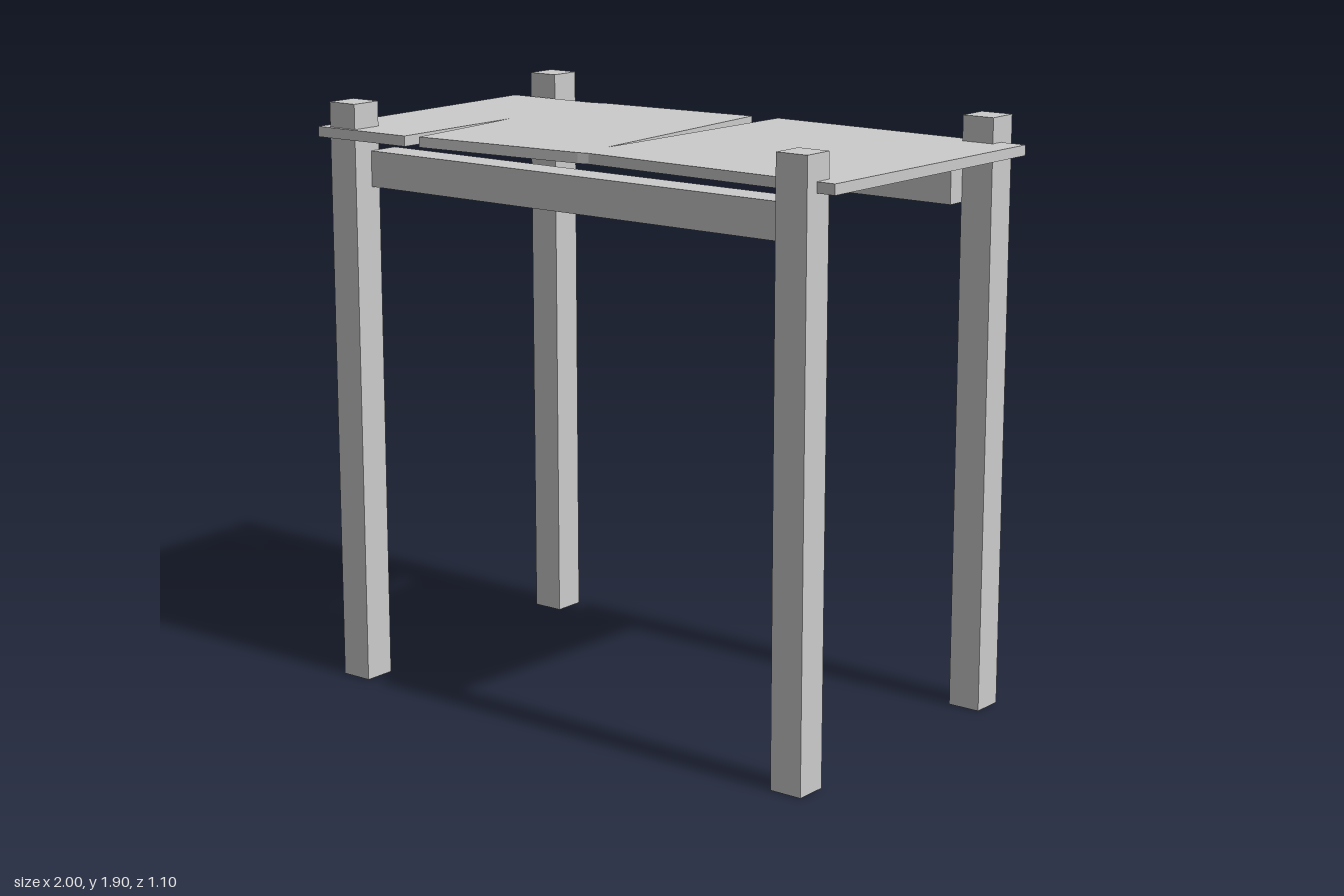
import * as THREE from 'three';

const material = new THREE.MeshStandardMaterial({ color: 0xcccccc, flatShading: true });

// Box given by its extents on each axis
function slab(name, [x0, x1], [y0, y1], [z0, z1]) {
  const mesh = new THREE.Mesh(new THREE.BoxGeometry(x1 - x0, y1 - y0, z1 - z0), material);
  mesh.position.set((x0 + x1) / 2, (y0 + y1) / 2, (z0 + z1) / 2);
  mesh.name = name;
  return mesh;
}

export function createModel() {
  const group = new THREE.Group();
  group.name = 'table';

  // Four square posts that rise past the table top
  const sides = { Right: [-0.94, -0.833], Left: [0.803, 0.912] };
  const ends = { front: [0.425, 0.532], back: [-0.55, -0.442] };
  for (const [end, z] of Object.entries(ends)) {
    for (const [side, x] of Object.entries(sides)) {
      group.add(slab(`${end}${side}Leg`, x, [0, 1.9], z));
    }
  }

  // Long rails between the posts
  group.add(slab('frontRail', [-0.835, 0.805], [1.63, 1.745], [0.35, 0.46]));
  group.add(slab('backRail', [-0.835, 0.805], [1.63, 1.745], [-0.492, -0.378]));

  // Crooked boards of the top, as one outline (x, z) with two wedge gaps
  const outline = [
    [-1, -0.428], [-0.66, -0.436], [-0.62, -0.45], [-0.04, -0.497],
    [0.03, 0.337], [0.055, -0.51], [1, -0.487], [0.975, 0.487],
    [0.065, 0.465], [0.03, 0.473], [-0.567, 0.523], [-0.62, 0.02],
    [-0.615, 0.537], [-0.978, 0.547],
  ];
  const shape = new THREE.Shape(outline.map(([x, z]) => new THREE.Vector2(x, z)));
  const topGeometry = new THREE.ExtrudeGeometry(shape, { depth: 0.033, bevelEnabled: false });
  topGeometry.rotateX(Math.PI / 2);
  const top = new THREE.Mesh(topGeometry, material);
  top.position.y = 1.82;
  top.name = 'tableTop';
  group.add(top);

  return group;
}
